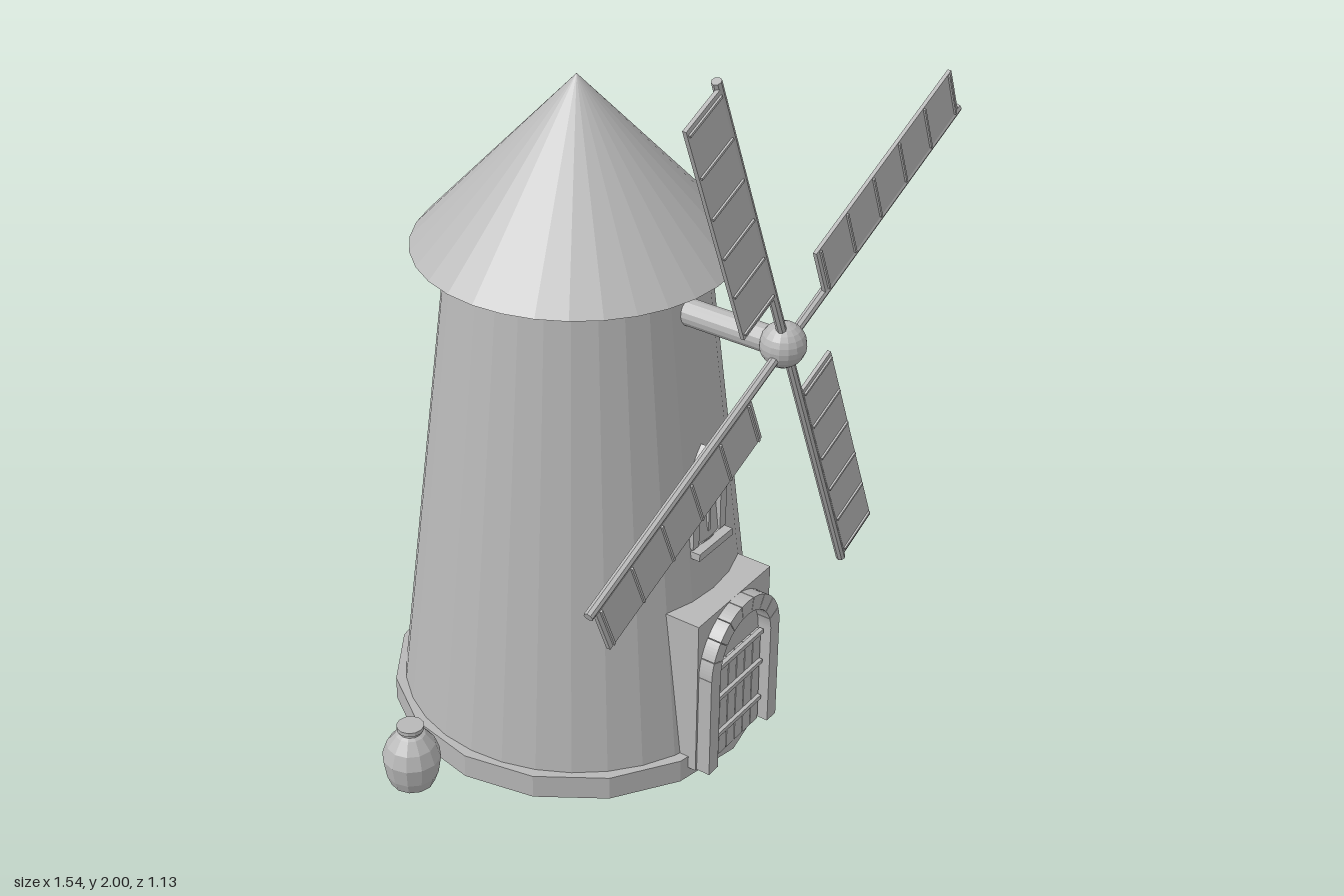
import * as THREE from 'three';

const grey = new THREE.MeshStandardMaterial({ color: 0xb8b8b8, flatShading: true });
grey.name = 'plain grey';

function add(parent, name, geo, x = 0, y = 0, z = 0) {
  const m = new THREE.Mesh(geo, grey);
  m.name = name;
  m.position.set(x, y, z);
  parent.add(m);
  return m;
}
const box = (w, h, d) => new THREE.BoxGeometry(w, h, d);
const extrude = (shape, depth) =>
  new THREE.ExtrudeGeometry(shape, { depth, bevelEnabled: false, curveSegments: 12 });

// Pointed arch outline, standing on y = 0
function lancet(Path, w, straight, top) {
  const s = new Path();
  s.moveTo(-w, 0);
  s.lineTo(w, 0);
  s.lineTo(w, straight);
  s.quadraticCurveTo(w * 0.9, straight + (top - straight) * 0.55, 0, top);
  s.quadraticCurveTo(-w * 0.9, straight + (top - straight) * 0.55, -w, straight);
  s.closePath();
  return s;
}

function makeTower() {
  const g = new THREE.Group();
  g.name = 'tower';
  g.position.z = -0.075;
  add(g, 'basePlinth', new THREE.CylinderGeometry(0.49, 0.49, 0.065, 16), 0, 0.0325);
  add(g, 'towerWall', new THREE.CylinderGeometry(0.318, 0.467, 1.29, 32), 0, 0.675);
  add(g, 'coneRoof', new THREE.ConeGeometry(0.405, 0.433, 32), 0, 1.5385);
  return g;
}

function makeDoorway() {
  const g = new THREE.Group();
  g.name = 'doorway';
  const spring = 0.32;
  // Porch block
  add(g, 'porch', box(0.322, 0.445, 0.2), 0, 0.2525, 0.305);
  // Pillars either side
  for (const s of [-1, 1]) add(g, 'doorPillar', box(0.04, 0.29, 0.045), s * 0.135, 0.175, 0.42);
  // Arch made of separate stones
  const stones = 9, gap = 0.012;
  for (let i = 0; i < stones; i++) {
    const a = (i / stones) * Math.PI + gap / 2, b = ((i + 1) / stones) * Math.PI - gap / 2;
    const s = new THREE.Shape();
    s.absarc(0, 0, 0.155, a, b, false);
    s.absarc(0, 0, 0.114, b, a, true);
    add(g, 'archStone', new THREE.ExtrudeGeometry(s, { depth: 0.043, bevelEnabled: false, curveSegments: 3 }),
      0, spring, 0.4);
  }
  // Planked door with cross bars
  for (let i = 0; i < 6; i++)
    add(g, 'doorPlank', box(0.034, 0.285, 0.012), (i - 2.5) * 0.037, 0.1725, 0.41);
  for (const y of [0.105, 0.22, 0.315])
    add(g, 'doorBar', box(0.214, 0.012, 0.012), 0, y, 0.42);
  return g;
}

function makeWindow() {
  const g = new THREE.Group();
  g.name = 'window';
  const frame = lancet(THREE.Shape, 0.072, 0.12, 0.26);
  const hole = lancet(THREE.Path, 0.046, 0.11, 0.215);
  frame.holes.push(hole);
  add(g, 'windowFrame', extrude(frame, 0.08), 0, 0.62, 0.245);
  add(g, 'windowMullion', box(0.008, 0.17, 0.03), 0, 0.725, 0.309);
  add(g, 'windowSill', box(0.145, 0.02, 0.08), 0, 0.605, 0.305);
  return g;
}

// One sail arm lying along +x, canvas on its +y side
function makeSail() {
  const g = new THREE.Group();
  g.name = 'sail';
  const spar = add(g, 'sailSpar', new THREE.CylinderGeometry(0.012, 0.012, 0.83, 8), 0.415);
  spar.rotation.z = Math.PI / 2;
  add(g, 'sailPanel', box(0.645, 0.132, 0.01), 0.4925, 0.073, 0.005);
  for (let i = 0; i < 6; i++)
    add(g, 'sailBatten', box(0.006, 0.126, 0.006), 0.185 + i * 0.123, 0.072, 0.012);
  return g;
}

function makeRotor() {
  const g = new THREE.Group();
  g.name = 'rotor';
  g.position.set(0, 1.23, 0.512);
  add(g, 'hub', new THREE.SphereGeometry(0.056, 16, 12));
  const axle = add(g, 'axle', new THREE.CylinderGeometry(0.034, 0.034, 0.32, 16), 0, 0, -0.16);
  axle.rotation.x = Math.PI / 2;
  for (let i = 0; i < 4; i++) {
    const sail = makeSail();
    sail.rotation.z = Math.PI / 8 + (i * Math.PI) / 2;
    sail.position.z = 0.006;
    g.add(sail);
  }
  return g;
}

function makeJar(x) {
  const profile = [[0, 0], [0.056, 0], [0.067, 0.03], [0.075, 0.08], [0.062, 0.118], [0.038, 0.148],
    [0.029, 0.153], [0.029, 0.16], [0.035, 0.162], [0.035, 0.173], [0, 0.173]];
  const m = new THREE.Mesh(
    new THREE.LatheGeometry(profile.map(p => new THREE.Vector2(...p)), 12), grey);
  m.name = 'jar';
  m.position.set(x, 0, -0.175);
  return m;
}

export function createModel() {
  const model = new THREE.Group();
  model.name = 'windmill';
  model.add(makeTower(), makeDoorway(), makeWindow(), makeRotor(), makeJar(-0.577), makeJar(0.577));
  return model;
}
